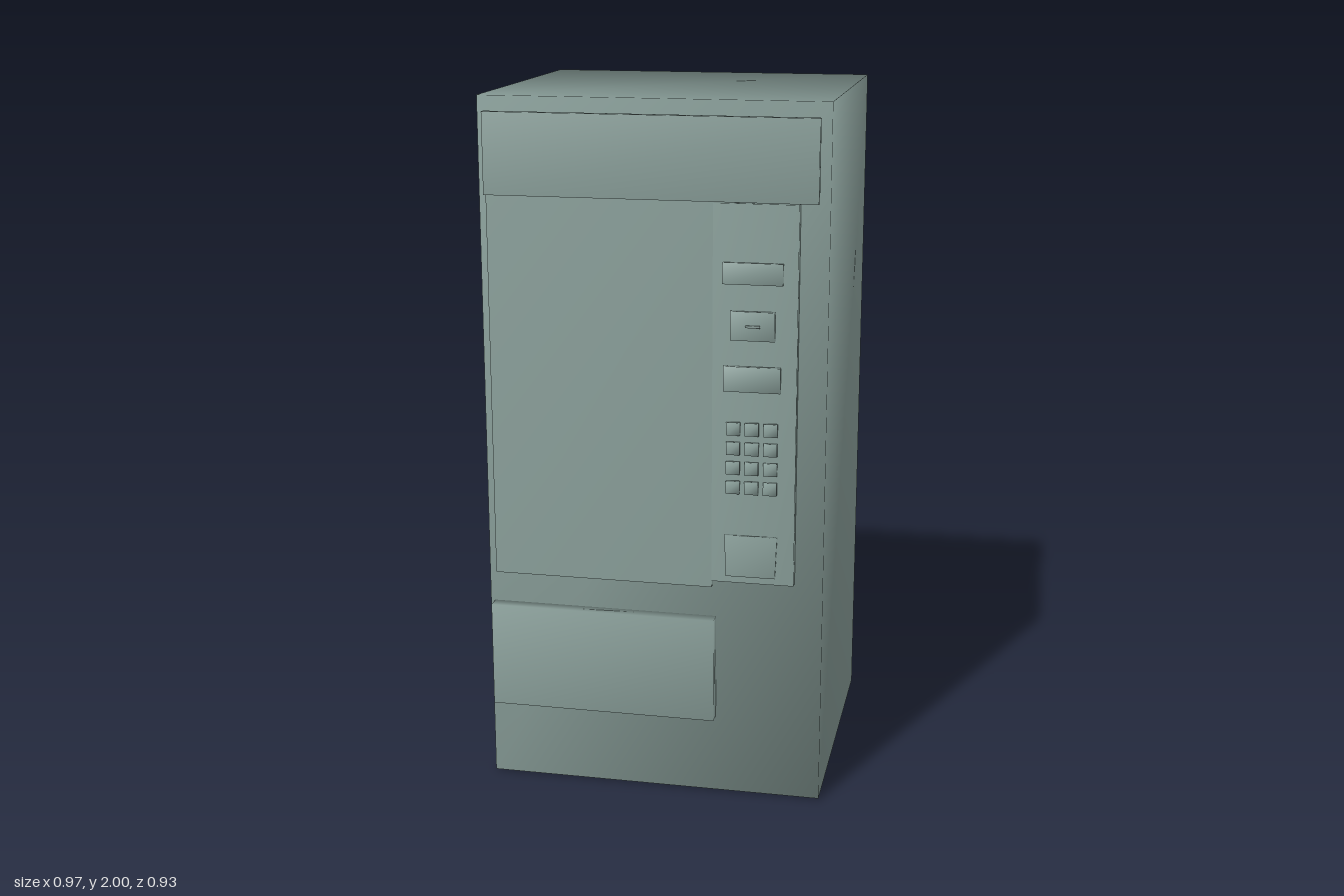
import * as THREE from 'three';
import { mergeVertices } from 'three/addons/utils/BufferGeometryUtils.js';

const material = new THREE.MeshStandardMaterial({ color: 0x8a9f9a });

// Shared corners give the soft shading that runs around every edge.
function soften(geometry) {
  geometry.deleteAttribute('uv');
  geometry.deleteAttribute('normal');
  const merged = mergeVertices(geometry);
  merged.computeVertexNormals();
  return merged;
}

// Box given by its extents on each axis.
function box(name, [x0, x1], [y0, y1], [z0, z1]) {
  const mesh = new THREE.Mesh(soften(new THREE.BoxGeometry(x1 - x0, y1 - y0, z1 - z0)), material);
  mesh.position.set((x0 + x1) / 2, (y0 + y1) / 2, (z0 + z1) / 2);
  mesh.name = name;
  return mesh;
}

function group(name, ...parts) {
  const g = new THREE.Group();
  g.name = name;
  if (parts.length) g.add(...parts);
  return g;
}

export function createModel() {
  const model = group('vendingMachine');
  const FRONT = 0.42, BACK = -0.45, PANEL = 0.445;

  // Cabinet
  model.add(box('cabinet', [-0.485, 0.485], [0.004, 2], [BACK, FRONT]));

  // Header sign: backing frame and a slightly larger face
  model.add(group('headerSign',
    box('headerBacking', [-0.455, 0.45], [1.745, 1.95], [FRONT, 0.442]),
    box('headerFace', [-0.46, 0.458], [1.735, 1.96], [0.442, 0.463])));

  // Display window and pick-up tray
  model.add(box('displayWindow', [-0.46, 0.172], [0.64, 1.737], [FRONT, 0.442]));
  model.add(box('deliveryTray', [-0.472, 0.182], [0.238, 0.545], [FRONT, 0.46]));

  // Control panel with its fittings
  const controls = group('controls',
    box('controlPanel', [0.172, 0.405], [0.66, 1.73], [FRONT, PANEL]),
    box('readout', [0.2, 0.365], [1.513, 1.572], [PANEL, 0.456]),
    box('coinUnit', [0.223, 0.345], [1.36, 1.44], [PANEL, 0.46]),
    box('coinSlot', [0.265, 0.305], [1.397, 1.403], [0.46, 0.465]),
    box('billSlot', [0.205, 0.362], [1.217, 1.287], [PANEL, 0.461]));
  model.add(controls);

  // Coin return, narrowing a little toward the bottom
  const coinReturn = box('coinReturn', [0.21, 0.358], [0.682, 0.802], [PANEL, 0.456]);
  const corners = coinReturn.geometry.attributes.position;
  for (let i = 0; i < corners.count; i++) {
    if (corners.getY(i) < 0) corners.setX(i, corners.getX(i) * 0.94);
  }
  coinReturn.geometry.computeVertexNormals();
  controls.add(coinReturn);

  // Keypad, three columns by four rows
  const keypad = group('keypad');
  for (let row = 0; row < 4; row++) {
    for (let col = 0; col < 3; col++) {
      const x = 0.232 + col * 0.052, y = 1.11 - row * 0.056;
      keypad.add(box('key', [x - 0.019, x + 0.019], [y - 0.018, y + 0.018], [PANEL, 0.456]));
    }
  }
  controls.add(keypad);

  // Rear vent: louvres sloping down and outward
  const vent = group('rearVent');
  for (let i = 0; i < 5; i++) {
    const y = 0.437 - i * 0.054;
    const slat = box('ventSlat', [0.075, 0.435], [y - 0.006, y + 0.006], [-0.467, -0.441]);
    slat.rotation.x = -0.7;
    vent.add(slat);
  }
  model.add(vent);

  // Low feet under the corners
  const footGeometry = new THREE.CylinderGeometry(0.04, 0.04, 0.008, 16);
  const feet = group('feet');
  for (const x of [-0.405, 0.405]) {
    for (const z of [-0.365, 0.345]) {
      const foot = new THREE.Mesh(footGeometry, material);
      foot.name = 'foot';
      foot.position.set(x, 0.004, z);
      feet.add(foot);
    }
  }
  model.add(feet);

  return model;
}
